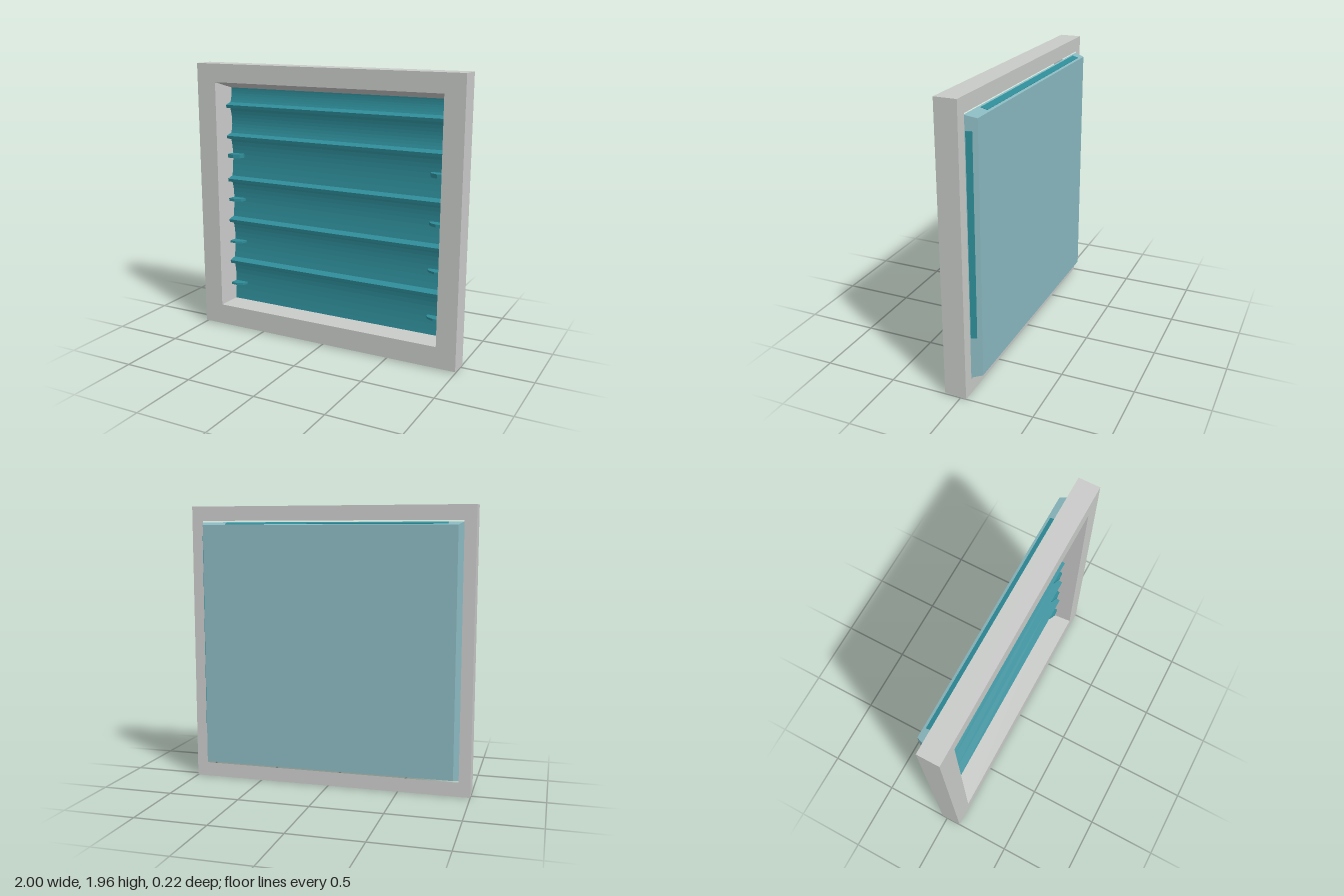
import * as THREE from 'three';

const mat = (name, color) => {
  const m = new THREE.MeshStandardMaterial({ color });
  m.name = name;
  return m;
};

// Skin over a series of rectangles [left, right, bottom, top, z]; optionally cap the last one
function rectLoft(rings, cap) {
  const corners = ([l, r, b, t, z]) => [[l, b, z], [r, b, z], [r, t, z], [l, t, z]];
  const pos = [];
  const quad = (a, b, c, d) => pos.push(...a, ...b, ...c, ...a, ...c, ...d);
  for (let i = 0; i + 1 < rings.length; i++) {
    const p = corners(rings[i]), q = corners(rings[i + 1]);
    for (let k = 0; k < 4; k++) {
      const n = (k + 1) % 4;
      quad(p[k], p[n], q[n], q[k]);
    }
  }
  if (cap) quad(...corners(rings[rings.length - 1]));
  const g = new THREE.BufferGeometry();
  g.setAttribute('position', new THREE.Float32BufferAttribute(pos, 3));
  g.computeVertexNormals();
  return g;
}

export function createModel() {
  const model = new THREE.Group();
  model.name = 'louvreVent';
  const grey = mat('frameGrey', 0xc9cbc9);
  const teal = mat('louvreTeal', 0x2e8c98);
  const pale = mat('trayPaleTeal', 0x8ab9c0);

  const add = (name, geometry, material, parent = model) => {
    const mesh = new THREE.Mesh(geometry, material);
    mesh.name = name;
    parent.add(mesh);
    return mesh;
  };

  // Outer frame: back lip, outside walls, front face, tapered opening
  add('frame', rectLoft([
    [-0.92, 0.92, 0.1, 1.86, -0.04],
    [-1, 1, 0, 1.96, -0.04],
    [-1, 1, 0.01, 1.96, 0.11],
    [-0.85, 0.86, 0.16, 1.83, 0.11],
    [-0.83, 0.84, 0.17, 1.775, -0.08],
  ]), grey);

  // Tray behind the frame, with sloping sides (front to back gives outward faces when reversed)
  add('backTray', rectLoft([
    [-0.89, 0.89, 0.13, 1.83, -0.11],
    [-0.92, 0.92, 0.11, 1.85, -0.035],
  ]), pale);
  const back = add('trayBack', new THREE.PlaneGeometry(1.78, 1.7), pale);
  back.rotation.y = Math.PI;
  back.position.set(0, 0.98, -0.11);

  // Darker patches on the tray's top and one side
  const topPatch = add('trayTopPatch', new THREE.BoxGeometry(1.55, 0.004, 0.045), teal);
  topPatch.position.set(-0.045, 1.841, -0.071);
  topPatch.rotation.x = -Math.atan2(0.02, 0.075);
  const sidePatch = add('traySidePatch', new THREE.BoxGeometry(0.004, 1.35, 0.04), teal);
  sidePatch.position.set(0.911, 1.08, -0.062);
  sidePatch.rotation.y = Math.atan2(0.03, 0.075);

  // Louvre panel: side profile with a ledge at each blade and a hollow between them
  const profile = new THREE.Shape();
  profile.moveTo(-0.1, 0.15);
  profile.lineTo(-0.05, 0.15);
  for (const y of [0.48, 0.8, 1.11, 1.43, 1.655]) {
    profile.quadraticCurveTo(-0.08, y - 0.12, -0.045, y - 0.017);
    profile.lineTo(0, y - 0.017);
    profile.lineTo(0.005, y + 0.005);
    profile.lineTo(-0.05, y + 0.02);
  }
  profile.quadraticCurveTo(-0.075, 1.74, -0.06, 1.8);
  profile.lineTo(-0.1, 1.8);
  const panel = new THREE.ExtrudeGeometry(profile, { depth: 1.68, bevelEnabled: false, curveSegments: 8 });
  panel.translate(0, 0, -0.845);
  panel.rotateY(-Math.PI / 2);
  add('louvrePanel', panel, teal);

  // Small pointed tabs at both ends of the blades
  const tabs = new THREE.Group();
  tabs.name = 'tabs';
  model.add(tabs);
  for (const side of [-1, 1]) {
    const outline = new THREE.Shape([
      [0.84, -0.08], [0.84, -0.005], [0.79, 0], [0.745, -0.02], [0.73, -0.045], [0.73, -0.08],
    ].map(([x, z]) => new THREE.Vector2(side * x, -z)));
    for (const [y, h] of [[0.3, 0.015], [0.63, 0.015], [0.955, 0.02], [1.285, 0.028]]) {
      const g = new THREE.ExtrudeGeometry(outline, { depth: h, bevelEnabled: false });
      g.rotateX(-Math.PI / 2);
      g.translate(0, y - h / 2, 0);
      add('tab', g, teal, tabs);
    }
  }
  return model;
}
